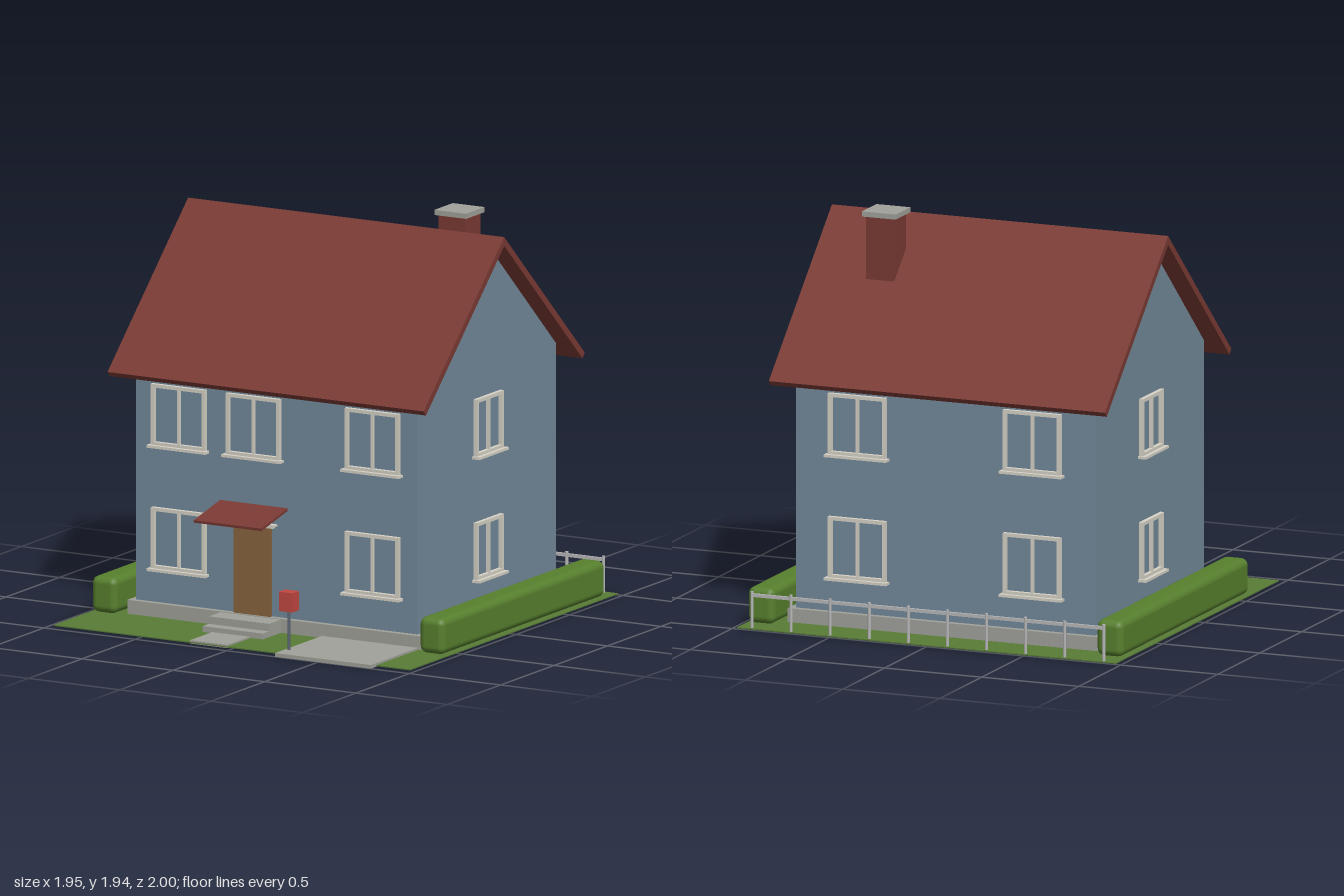
import * as THREE from 'three';
import { RoundedBoxGeometry } from 'three/addons/geometries/RoundedBoxGeometry.js';

const paint = (name, color) => {
  const m = new THREE.MeshStandardMaterial({ color });
  m.name = name;
  return m;
};

export function createModel() {
  const wall = paint('blue wall', 0x73899b);
  const tile = paint('red roof tile', 0x7a3a33);
  const trim = paint('cream trim', 0xd6d2c6);
  const concrete = paint('concrete', 0xa1a19b);
  const grass = paint('grass', 0x587c36);
  const hedgeGreen = paint('hedge green', 0x57802e);
  const wood = paint('door wood', 0x87643f);
  const red = paint('mailbox red', 0xc24742);
  const steel = paint('post steel', 0x5c6674);
  const fenceGrey = paint('fence grey', 0xb9b9b9);

  const model = new THREE.Group();
  model.name = 'house';

  const add = (name, geometry, material, x = 0, y = 0, z = 0, parent = model) => {
    const mesh = new THREE.Mesh(geometry, material);
    mesh.name = name;
    mesh.position.set(x, y, z);
    parent.add(mesh);
    return mesh;
  };
  // Box given by its minimum and maximum on each axis
  const box = (name, material, [x0, x1], [y0, y1], [z0, z1], parent = model) =>
    add(name, new THREE.BoxGeometry(x1 - x0, y1 - y0, z1 - z0), material,
      (x0 + x1) / 2, (y0 + y1) / 2, (z0 + z1) / 2, parent);
  // Profile of [z, y] points extruded along x, centred on x = 0
  const extrudeX = (points, width) => {
    const shape = new THREE.Shape(points.map(([z, y]) => new THREE.Vector2(-z, y)));
    return new THREE.ExtrudeGeometry(shape, { depth: width, bevelEnabled: false })
      .translate(0, 0, -width / 2).rotateY(Math.PI / 2);
  };

  // Ground and paving
  box('lawn', grass, [-0.975, 0.975], [0.003, 0.008], [-1, 0.95]);
  box('foundation', concrete, [-0.8, 0.8], [0, 0.075], [-0.8, 0.56]);
  box('driveway', concrete, [0.265, 0.79], [0, 0.018], [0.56, 1]);
  box('path', concrete, [-0.23, -0.025], [0, 0.016], [0.74, 0.95]);
  box('upperStep', concrete, [-0.29, 0.04], [0.008, 0.072], [0.55, 0.67]);
  box('lowerStep', concrete, [-0.29, 0.04], [0.008, 0.036], [0.67, 0.73]);

  // Walls with gables, and roof
  const mid = -0.12;
  add('walls', extrudeX([[-0.77, 0.07], [0.53, 0.07], [0.53, 1.255], [mid, 1.85], [-0.77, 1.255]], 1.54), wall);
  add('roof', extrudeX([
    [mid, 1.885], [mid - 0.755, 1.184], [mid - 0.733, 1.16],
    [mid, 1.842], [mid + 0.733, 1.16], [mid + 0.755, 1.184],
  ], 1.73), tile);

  // Chimney
  box('chimney', tile, [0.418, 0.562], [1.5, 1.915], [-0.415, -0.271]);
  box('chimneyCap', concrete, [0.403, 0.577], [1.915, 1.94], [-0.43, -0.256]);

  // Window frame with centre bar and sill, facing +z, with its base at the origin
  const addWindow = (x, y, z, turn, w, h) => {
    const g = new THREE.Group();
    g.name = 'window';
    g.position.set(x, y, z);
    g.rotation.y = turn;
    const t = 0.017, d = [-0.005, 0.021];
    for (const s of [-1, 1]) {
      const c = s * (w - t) / 2;
      box('frameSide', trim, [c - t / 2, c + t / 2], [0, h], d, g);
    }
    box('frameTop', trim, [-w / 2 + t, w / 2 - t], [h - t, h], d, g);
    box('frameBottom', trim, [-w / 2 + t, w / 2 - t], [0, t], d, g);
    box('frameBar', trim, [-0.006, 0.006], [t, h - t], [-0.005, 0.017], g);
    box('sill', trim, [-w / 2 - 0.013, w / 2 + 0.013], [-0.01, 0.003], [-0.005, 0.04], g);
    model.add(g);
  };
  for (const y of [0.238, 0.835]) {
    for (const s of [-1, 1]) {
      addWindow(s * 0.53, y, 0.53, 0, 0.295, 0.297);
      addWindow(s * 0.45, y, -0.77, Math.PI, 0.295, 0.297);
      addWindow(s * 0.77, y, mid, s * Math.PI / 2, 0.25, 0.278);
    }
  }
  addWindow(-0.122, 0.835, 0.53, 0, 0.295, 0.297);

  // Door, lintel and sloping canopy
  box('door', wood, [-0.225, -0.025], [0.072, 0.508], [0.525, 0.55]);
  box('lintel', trim, [-0.24, -0.01], [0.503, 0.513], [0.525, 0.552]);
  box('lintelCap', trim, [-0.253, 0.003], [0.513, 0.523], [0.525, 0.56]);
  add('canopy', extrudeX([[0.528, 0.594], [0.776, 0.543], [0.778, 0.555], [0.53, 0.607]], 0.37), tile, -0.125);

  // Hedges along both sides
  for (const x of [-0.897, 0.897]) {
    add('hedge', new RoundedBoxGeometry(0.137, 0.175, 1.53, 3, 0.035), hedgeGreen, x, 0.0975, -0.14);
  }

  // Back fence
  const fence = new THREE.Group();
  fence.name = 'fence';
  model.add(fence);
  const post = new THREE.CylinderGeometry(0.008, 0.008, 0.18, 8);
  for (let i = 0; i < 10; i++) add('fencePost', post, fenceGrey, -0.905 + i * 1.81 / 9, 0.095, -0.982, fence);
  box('fenceRail', fenceGrey, [-0.905, 0.905], [0.159, 0.175], [-0.988, -0.976], fence);

  // Mailbox
  add('mailboxPost', new THREE.CylinderGeometry(0.007, 0.007, 0.2, 10), steel, 0.284, 0.11, 0.903);
  box('mailbox', red, [0.247, 0.321], [0.207, 0.3], [0.872, 0.933]);

  return model;
}
